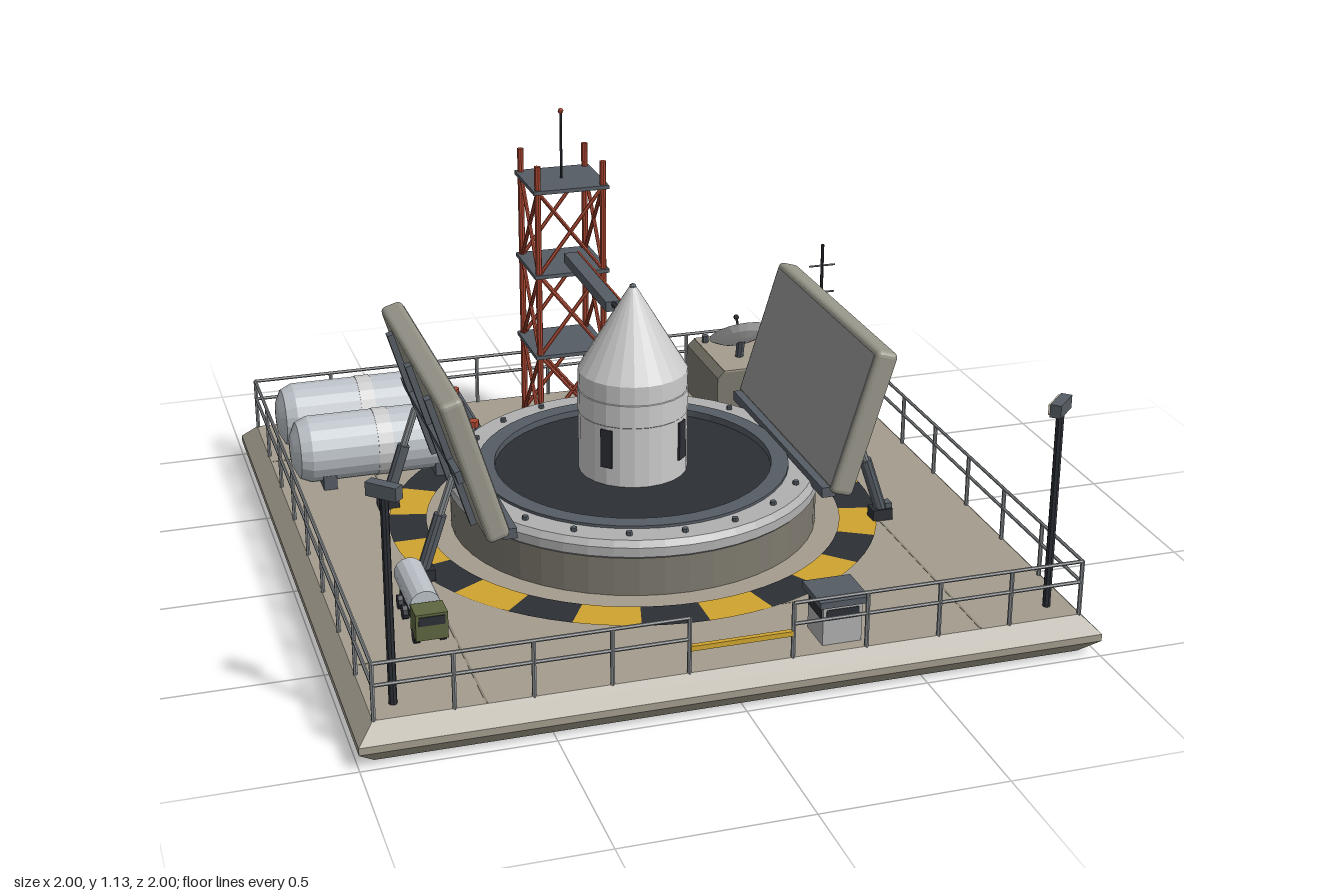
import * as THREE from 'three';
import { RoundedBoxGeometry } from 'three/addons/geometries/RoundedBoxGeometry.js';

const mat = (color, side = THREE.FrontSide) => new THREE.MeshStandardMaterial({ color, side, flatShading: true });
const M = {
  deck: mat(0xa39c8e), seam: mat(0x8c8678), wall: mat(0x7d796e), collar: mat(0xb0b0b0), door: mat(0x98968a),
  panel: mat(0x969696), slate: mat(0x555c64), dark: mat(0x2c2f35), yellow: mat(0xd0a42e), red: mat(0xa8452f),
  white: mat(0xdededa), band: mat(0xc4c4c2), tank: mat(0xbcc2c8), rail: mat(0x85898c), olive: mat(0x5d6640),
  lamp: mat(0xe6dfc4), dish: mat(0xd2d4d4, THREE.DoubleSide),
};
const V = (x, y, z) => new THREE.Vector3(x, y, z);
const DECK = 0.11;

function add(parent, name, geo, material, x = 0, y = 0, z = 0) {
  const m = new THREE.Mesh(geo, material);
  m.name = name;
  m.position.set(x, y, z);
  parent.add(m);
  return m;
}
function group(parent, name, x = 0, y = 0, z = 0) {
  const g = new THREE.Group();
  g.name = name;
  g.position.set(x, y, z);
  parent.add(g);
  return g;
}
const box = (p, name, m, w, h, d, x, y, z) => add(p, name, new THREE.BoxGeometry(w, h, d), m, x, y, z);
const lathe = (pts, n, phi = 0) => new THREE.LatheGeometry(pts.map(([r, y]) => new THREE.Vector2(r, y)), n, phi);

// Round bar between two points
function bar(p, name, m, a, b, r, n = 6) {
  const d = b.clone().sub(a);
  const c = add(p, name, new THREE.CylinderGeometry(r, r, d.length(), n), m);
  c.position.copy(a).add(b).multiplyScalar(0.5);
  c.quaternion.setFromUnitVectors(V(0, 1, 0), d.normalize());
  return c;
}

function buildBase(g) {
  const q = Math.SQRT2;
  add(g, 'baseSlab', lathe([[0, 0], [0.955 * q, 0], [q, 0.045], [q, 0.065], [0.955 * q, DECK], [0, DECK]], 4, Math.PI / 4), M.deck);
  for (const s of [-0.667, 0.667]) {
    box(g, 'deckSeam', M.seam, 0.006, 0.002, 1.9, s, DECK, 0);
    box(g, 'deckSeam', M.seam, 1.9, 0.002, 0.006, 0, DECK, s);
  }
  // Hazard ring of 24 alternating blocks
  for (let k = 0; k < 24; k++) {
    const geo = new THREE.RingGeometry(0.6, 0.708, 3, 1, k * Math.PI / 12 - Math.PI / 2, Math.PI / 12);
    add(g, 'hazardBlock', geo, k % 2 ? M.dark : M.yellow, 0, DECK + 0.003, 0).rotation.x = -Math.PI / 2;
  }
}

function buildSilo(g) {
  add(g, 'siloWall', lathe([[0.53, DECK], [0.53, 0.225]], 48), M.wall);
  add(g, 'siloCollar', lathe([[0.53, 0.222], [0.536, 0.228], [0.536, 0.255], [0.522, 0.272], [0.44, 0.272]], 48), M.collar);
  add(g, 'siloLip', lathe([[0.45, 0.27], [0.45, 0.28], [0.4, 0.28], [0.4, 0.25]], 48), M.slate);
  add(g, 'siloFloor', new THREE.CylinderGeometry(0.405, 0.405, 0.01, 48), M.dark, 0, 0.255, 0);
  for (let k = 0; k < 20; k++) {
    const a = k * Math.PI / 10;
    add(g, 'collarBolt', new THREE.CylinderGeometry(0.009, 0.009, 0.012, 6), M.slate, 0.488 * Math.sin(a), 0.277, 0.488 * Math.cos(a));
  }
}

function buildRocket(g) {
  const r = group(g, 'rocket');
  add(r, 'rocketBody', lathe([[0.157, 0.255], [0.157, 0.44]], 24), M.white);
  add(r, 'rocketBand', lathe([[0.157, 0.44], [0.159, 0.442], [0.159, 0.508], [0.157, 0.51]], 24), M.band);
  add(r, 'rocketNose', lathe([[0.157, 0.51], [0.157, 0.565], [0.018, 0.796], [0.01, 0.808], [0, 0.813]], 24), M.white);
  add(r, 'noseTip', new THREE.SphereGeometry(0.011, 8, 6), M.slate, 0, 0.807, 0);
  for (let k = 0; k < 4; k++) {
    const a = Math.PI / 4 + k * Math.PI / 2;
    box(r, 'rocketWindow', M.dark, 0.036, 0.115, 0.01, 0.156 * Math.sin(a), 0.372, 0.156 * Math.cos(a)).rotation.y = a;
  }
}

// One blast door, s = side
function buildDoor(g, s) {
  const d = group(g, s > 0 ? 'leftDoor' : 'rightDoor', s * 0.492, 0.272, 0);
  d.rotation.z = -s * 0.295;
  add(d, 'doorPanel', new RoundedBoxGeometry(0.066, 0.435, 0.795, 2, 0.016), M.door, 0, 0.215, 0);
  box(d, 'doorInnerFace', M.panel, 0.006, 0.4, 0.76, -s * 0.032, 0.215, 0);
  for (const z of [-0.25, 0, 0.25]) box(d, 'doorRib', M.slate, 0.022, 0.4, 0.03, s * 0.04, 0.205, z);
  box(d, 'doorCrossRib', M.slate, 0.02, 0.036, 0.71, s * 0.04, 0.2, 0);
  box(g, 'doorHinge', M.slate, 0.04, 0.03, 0.75, s * 0.46, 0.277, 0);
  for (const z of [-0.245, 0.245]) {
    box(g, 'ramFoot', M.dark, 0.06, 0.035, 0.045, s * 0.675, DECK + 0.017, z);
    box(g, 'ramLug', M.slate, 0.02, 0.05, 0.03, s * 0.695, DECK + 0.025, z);
    bar(g, 'ramCylinder', M.slate, V(s * 0.68, 0.125, z), V(s * 0.622, 0.3, z), 0.018, 10);
    bar(g, 'ramPiston', M.rail, V(s * 0.622, 0.3, z), V(s * 0.585, 0.41, z), 0.011, 8);
  }
}

function buildTower(g) {
  const t = group(g, 'serviceTower', 0, 0, -0.755), h = 0.103, levels = [DECK, 0.365, 0.63, 0.9];
  const corners = [[-h, -h], [h, -h], [h, h], [-h, h]];
  corners.forEach(([x, z], i) => {
    const [u, w] = corners[(i + 1) % 4];
    bar(t, 'towerLeg', M.red, V(x, DECK, z), V(x, 0.98, z), 0.01, 8);
    for (let k = 0; k < 3; k++) {
      const a = levels[k], b = levels[k + 1];
      bar(t, 'towerBrace', M.red, V(x, a, z), V(u, b, w), 0.006);
      bar(t, 'towerBrace', M.red, V(u, a, w), V(x, b, z), 0.006);
    }
  });
  for (const y of levels.slice(1)) box(t, 'towerPlatform', M.slate, 0.238, 0.012, 0.238, 0, y, 0);
  bar(t, 'towerMast', M.dark, V(0, 0.9, 0), V(0, 1.115, 0), 0.004);
  add(t, 'towerBeacon', new THREE.SphereGeometry(0.009, 8, 6), M.red, 0, 1.118, 0);
  // Swing arm reaching for the rocket
  box(t, 'swingArm', M.slate, 0.046, 0.03, 0.46, 0, 0.682, 0.335);
  box(t, 'armStripe', M.red, 0.006, 0.006, 0.46, 0.022, 0.696, 0.335);
  bar(t, 'armUmbilical', M.dark, V(0, 0.69, 0.56), V(0, 0.685, 0.685), 0.008);
}

function buildTanks(g) {
  const R = 0.1;
  for (const z of [-0.76, -0.49]) {
    const t = group(g, 'fuelTank', -0.645, 0.215, z);
    add(t, 'tankShell', lathe([[0, -0.275], [0.05, -0.27], [0.085, -0.253], [R, -0.22], [R, 0.22], [0.085, 0.253], [0.05, 0.27], [0, 0.275]], 20), M.tank).rotation.z = Math.PI / 2;
    add(t, 'tankBand', new THREE.CylinderGeometry(0.102, 0.102, 0.045, 20), M.band).rotation.z = Math.PI / 2;
    for (const x of [-0.17, 0.17]) box(t, 'tankCradle', M.slate, 0.04, 0.06, 0.16, x, -0.075, 0);
    bar(t, 'tankOutlet', M.slate, V(0.26, 0, 0), V(0.3, 0, 0), 0.014, 8);
    add(t, 'tankValve', new THREE.CylinderGeometry(0.017, 0.017, 0.02, 8), M.red, 0.288, 0.02, 0);
  }
  bar(g, 'manifoldPipe', M.slate, V(-0.345, 0.215, -0.77), V(-0.345, 0.215, -0.4), 0.014, 8);
}

function buildControlHouse(g) {
  const b = group(g, 'controlHouse', 0.667, 0, -0.692);
  const shape = new THREE.Shape([[-0.222, 0.11], [0.222, 0.11], [0.222, 0.268], [0.2, 0.29], [-0.2, 0.29], [-0.222, 0.268]].map(p => new THREE.Vector2(...p)));
  add(b, 'houseShell', new THREE.ExtrudeGeometry(shape, { depth: 0.305, bevelEnabled: false }), M.wall, 0, 0, -0.153);
  box(b, 'houseRoof', M.deck, 0.4, 0.006, 0.305, 0, 0.289, 0);
  box(b, 'houseDoor', M.slate, 0.075, 0.12, 0.015, -0.065, 0.17, 0.154);
  box(b, 'houseWindow', M.slate, 0.11, 0.03, 0.015, 0.1, 0.213, 0.154);
  box(b, 'roofUnit', M.collar, 0.06, 0.04, 0.06, 0.133, 0.308, -0.09);
  for (const x of [-0.177, -0.138]) add(b, 'roofVent', new THREE.CylinderGeometry(0.011, 0.011, 0.03, 8), M.slate, x, 0.3, -0.108);
  // Radio mast with crossbars
  bar(b, 'radioMast', M.dark, V(0.153, 0.285, 0.067), V(0.153, 0.65, 0.067), 0.005);
  for (const y of [0.49, 0.58]) bar(b, 'mastCrossbar', M.slate, V(0.11, y, 0.067), V(0.196, y, 0.067), 0.003);
  // Dish aimed up and to the rear
  bar(b, 'dishPost', M.slate, V(-0.112, 0.285, 0.04), V(-0.112, 0.35, 0.055), 0.014, 8);
  const d = group(b, 'dish', -0.112, 0.345, 0.062);
  d.rotation.x = -0.7;
  add(d, 'dishBowl', lathe([[0, 0], [0.035, 0.004], [0.07, 0.015], [0.099, 0.032]], 20), M.dish);
  bar(d, 'dishFeed', M.dark, V(0, 0, 0), V(0, 0.085, 0), 0.004);
  add(d, 'feedHorn', new THREE.SphereGeometry(0.009, 8, 6), M.dark, 0, 0.087, 0);
}

function buildTruck(g) {
  const t = group(g, 'tankerTruck', -0.735, DECK, 0.495);
  box(t, 'truckChassis', M.dark, 0.06, 0.018, 0.27, 0, 0.033, 0);
  box(t, 'truckCab', M.olive, 0.086, 0.075, 0.068, 0, 0.062, 0.108);
  box(t, 'truckWindscreen', M.dark, 0.07, 0.025, 0.006, 0, 0.08, 0.142);
  bar(t, 'truckTank', M.tank, V(0, 0.083, -0.145), V(0, 0.083, 0.062), 0.042, 14);
  for (const x of [-0.035, 0.035]) for (const z of [-0.1, -0.04, 0.1])
    bar(t, 'truckWheel', M.dark, V(x - 0.008, 0.02, z), V(x + 0.008, 0.02, z), 0.02, 10);
}

function buildFence(g) {
  const e = 0.952, top = 0.265, mid = 0.205;
  const run = (a, b, n) => {
    for (let i = 0; i <= n; i++) {
      const p = a.clone().lerp(b, i / n);
      bar(g, 'fencePost', M.rail, V(p.x, DECK - 0.005, p.z), V(p.x, top, p.z), 0.006);
    }
    for (const y of [mid, top]) bar(g, 'fenceRail', M.rail, V(a.x, y, a.z), V(b.x, y, b.z), 0.005);
  };
  run(V(-e, 0, -e), V(e, 0, -e), 8);
  for (const s of [-1, 1]) {
    run(V(s * e, 0, -e), V(s * e, 0, e), 8);
    run(V(s * 0.14, 0, e), V(s * e, 0, e), 4);
  }
  box(g, 'gateBar', M.yellow, 0.275, 0.014, 0.014, 0, 0.18, e);
}

function buildKioskAndLamps(g) {
  const k = group(g, 'guardKiosk', 0.288, DECK, 0.865);
  box(k, 'kioskBody', M.collar, 0.108, 0.115, 0.108, 0, 0.057, 0);
  box(k, 'kioskWindow', M.dark, 0.112, 0.03, 0.09, 0, 0.086, 0);
  box(k, 'kioskWindow', M.dark, 0.09, 0.03, 0.112, 0, 0.086, 0);
  box(k, 'kioskRoof', M.slate, 0.135, 0.018, 0.135, 0, 0.122, 0);
  for (const s of [-1, 1]) {
    const l = group(g, 'floodlight', s * 0.89, 0, 0.885);
    l.rotation.y = s * Math.PI / 4;
    bar(l, 'lampPole', M.dark, V(0, DECK, 0), V(0, 0.68, 0), 0.011, 8);
    box(l, 'lampHead', M.slate, 0.088, 0.036, 0.03, 0, 0.69, 0);
    box(l, 'lampGlass', M.lamp, 0.078, 0.028, 0.008, 0, 0.69, -0.017);
  }
}

export function createModel() {
  const g = new THREE.Group();
  g.name = 'launchPad';
  buildBase(g);
  buildSilo(g);
  buildRocket(g);
  for (const s of [-1, 1]) buildDoor(g, s);
  buildTower(g);
  buildTanks(g);
  buildControlHouse(g);
  buildTruck(g);
  buildFence(g);
  buildKioskAndLamps(g);
  return g;
}
